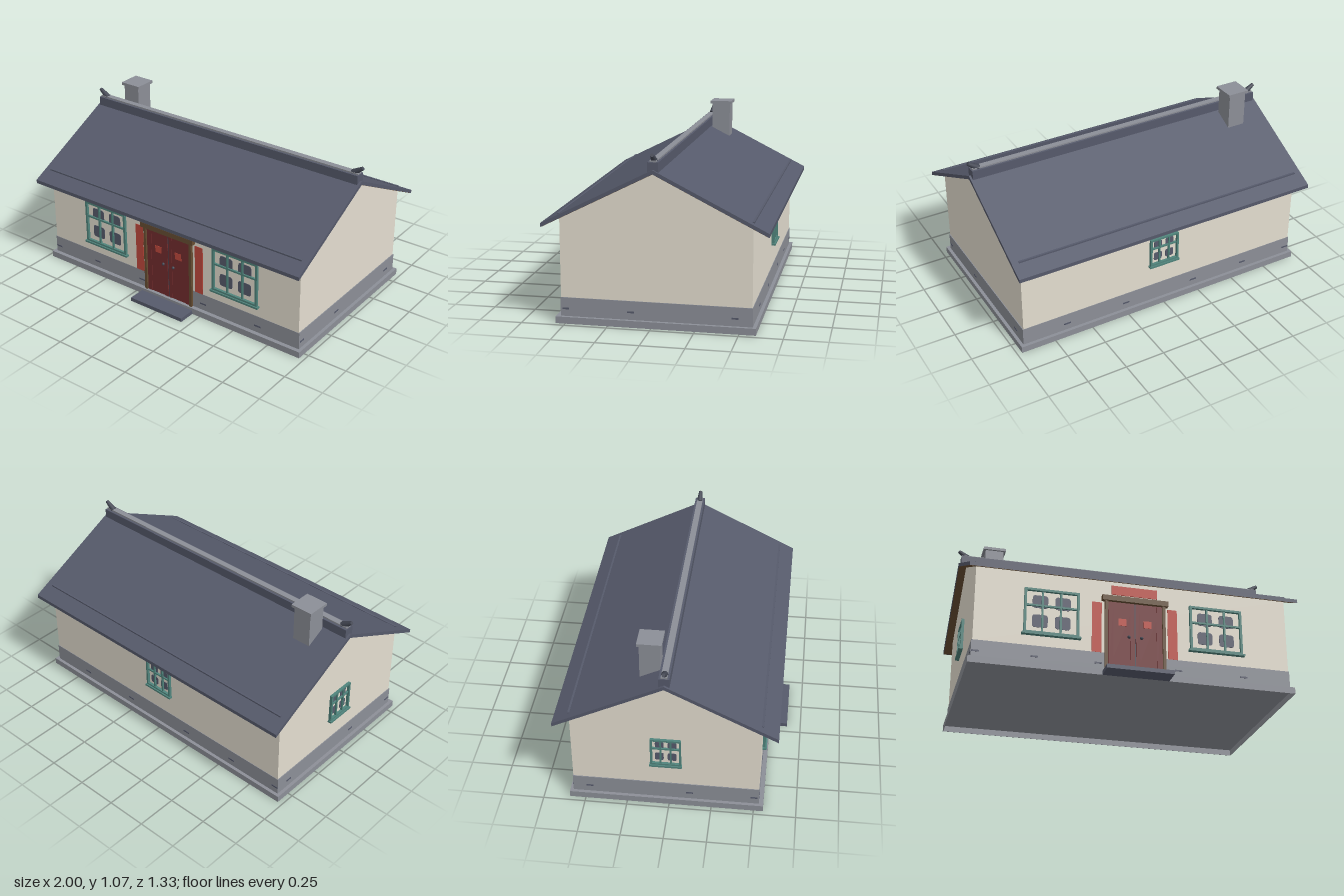
import * as THREE from 'three';

const mat = (name, color) => {
  const m = new THREE.MeshStandardMaterial({ color });
  m.name = name;
  return m;
};

export function createModel() {
  const plaster = mat('cream plaster', 0xe4ded0);
  const stone = mat('grey stone', 0x8c8f97);
  const slate = mat('roof slate', 0x565a6b);
  const wood = mat('brown wood', 0x664d32);
  const doorRed = mat('dark red', 0x722c2d);
  const red = mat('bright red', 0xc0493c);
  const teal = mat('teal paint', 0x50847c);
  const iron = mat('dark iron', 0x444854);

  const house = new THREE.Group();
  house.name = 'house';

  // Box given by its limits on each axis
  const box = (parent, name, m, x0, x1, y0, y1, z0, z1) => {
    const mesh = new THREE.Mesh(new THREE.BoxGeometry(x1 - x0, y1 - y0, z1 - z0), m);
    mesh.position.set((x0 + x1) / 2, (y0 + y1) / 2, (z0 + z1) / 2);
    mesh.name = name;
    parent.add(mesh);
  };

  // Prism along x from a [z, y] outline
  const prism = (name, m, pts, half) => {
    const shape = new THREE.Shape(pts.map(([z, y]) => new THREE.Vector2(-z, y)));
    const geo = new THREE.ExtrudeGeometry(shape, { depth: 2 * half, bevelEnabled: false });
    geo.translate(0, 0, -half);
    geo.rotateY(Math.PI / 2);
    const mesh = new THREE.Mesh(geo, m);
    mesh.name = name;
    house.add(mesh);
  };

  // Roof surface height at depth z
  const ridgeZ = -0.019;
  const roofY = z => 0.914 - Math.abs(z - ridgeZ) * 0.504;
  const front = 0.528, back = -0.572;

  // Hollow base: a floor plate with a thin skirt around it
  const baseX = 0.97, baseFront = 0.556, baseBack = -0.595, skirt = 0.003;
  box(house, 'basePlate', stone, -baseX, baseX, 0.037, 0.04, baseBack, baseFront);
  box(house, 'baseSkirtFront', stone, -baseX, baseX, 0, 0.037, baseFront - skirt, baseFront);
  box(house, 'baseSkirtBack', stone, -baseX, baseX, 0, 0.037, baseBack, baseBack + skirt);
  box(house, 'baseSkirtLeft', stone, baseX - skirt, baseX, 0, 0.037, baseBack + skirt, baseFront - skirt);
  box(house, 'baseSkirtRight', stone, -baseX, skirt - baseX, 0, 0.037, baseBack + skirt, baseFront - skirt);

  // Plinth and walls
  box(house, 'plinth', stone, -0.95, 0.95, 0.04, 0.15, back - 0.003, front + 0.002);
  const under = z => roofY(z) - 0.024;
  prism('walls', plaster, [[front, 0.15], [front, under(front)], [ridgeZ, under(ridgeZ)],
    [back, under(back)], [back, 0.15]], 0.945);

  // Small dark vents in the plinth
  for (const x of [-0.925, -0.59, -0.22, 0.26, 0.66]) {
    box(house, 'vent', slate, x - 0.022, x + 0.022, 0.078, 0.088, front, front + 0.004);
    box(house, 'vent', slate, x - 0.022, x + 0.022, 0.078, 0.088, back - 0.005, back);
  }
  for (const s of [-1, 1]) for (const z of [0.5, 0.12, -0.475]) {
    const x = s * 0.95;
    box(house, 'vent', slate, x - 0.002, x + 0.002, 0.08, 0.09, z - 0.02, z + 0.02);
  }

  // Roof slab with wooden soffit beneath
  const slab = (name, m, top, bottom, half, z0, z1) => prism(name, m, [
    [z0, roofY(z0) - top], [ridgeZ, roofY(ridgeZ) - top], [z1, roofY(z1) - top],
    [z1, roofY(z1) - bottom], [ridgeZ, roofY(ridgeZ) - bottom], [z0, roofY(z0) - bottom]], half);
  slab('roof', slate, 0, 0.023, 0.993, 0.626, -0.665);
  slab('soffit', wood, 0.022, 0.0246, 0.99, 0.622, -0.661);

  // Raised strips near the eaves
  for (const z of [0.532, -0.572]) {
    box(house, 'roofStrip', slate, -0.95, 0.95, roofY(z) - 0.01, roofY(z) + 0.006, z - 0.006, z + 0.006);
  }

  // Ridge cap and tilted end finials
  box(house, 'ridgeCap', slate, -0.98, 0.98, 0.895, 0.955, -0.05, 0.012);
  box(house, 'ridgeTop', stone, -0.975, 0.975, 0.955, 0.964, -0.037, 0);
  for (const s of [-1, 1]) {
    const finial = new THREE.Mesh(new THREE.CylinderGeometry(0.011, 0.02, 0.075, 10), iron);
    finial.position.set(s * 0.964, 0.976, ridgeZ);
    finial.rotation.z = -s * 0.97;
    finial.name = 'finial';
    house.add(finial);
  }

  // Chimney
  box(house, 'chimney', stone, -0.822, -0.707, 0.78, 1.055, -0.178, -0.06);
  box(house, 'chimneyCap', stone, -0.835, -0.694, 1.055, 1.073, -0.19, -0.048);

  // Window facing +z, centred on its own origin
  const makeWindow = (w, h, bar, sill) => {
    const g = new THREE.Group();
    g.name = 'window';
    const x = w / 2, y = h / 2;
    for (const s of [-1, 1]) {
      box(g, 'frameSide', teal, s * (x - bar / 2) - bar / 2, s * (x - bar / 2) + bar / 2, -y, y, 0, 0.017);
      box(g, 'mullion', teal, s * w / 6 - bar * 0.4, s * w / 6 + bar * 0.4, -y, y, 0, 0.013);
      box(g, 'frameRail', teal, -x, x, s * (y - bar / 2) - bar / 2, s * (y - bar / 2) + bar / 2, 0, 0.0165);
    }
    box(g, 'crossBar', teal, -x, x, h * 0.13 - bar * 0.4, h * 0.13 + bar * 0.4, 0, 0.012);
    box(g, 'sill', teal, -x - sill, x + sill, -y - 0.01, -y + 0.002, 0, 0.025);

    // Rounded dark panes
    const a = w * 0.14, b = h * 0.14, r = a * 0.4;
    const s = new THREE.Shape();
    s.moveTo(-a + r, -b);
    s.lineTo(a - r, -b).quadraticCurveTo(a, -b, a, -b + r);
    s.lineTo(a, b - r).quadraticCurveTo(a, b, a - r, b);
    s.lineTo(-a + r, b).quadraticCurveTo(-a, b, -a, b - r);
    s.lineTo(-a, -b + r).quadraticCurveTo(-a, -b, -a + r, -b);
    const paneGeo = new THREE.ExtrudeGeometry(s, { depth: 0.003, bevelEnabled: false, curveSegments: 4 });
    for (const i of [-1, 1]) for (const j of [-1, 1]) {
      const pane = new THREE.Mesh(paneGeo, slate);
      pane.position.set(i * w * 0.205, j * h * 0.215 + h * 0.01, 0);
      pane.name = 'pane';
      g.add(pane);
    }
    house.add(g);
    return g;
  };

  // Two front windows, one at the back and one in the right gable
  for (const s of [-1, 1]) makeWindow(0.325, 0.285, 0.014, 0.01).position.set(s * 0.497, 0.365, front);
  const backWindow = makeWindow(0.195, 0.19, 0.012, 0.005);
  backWindow.position.set(0, 0.395, back);
  backWindow.rotation.y = Math.PI;
  const sideWindow = makeWindow(0.18, 0.19, 0.012, 0.005);
  sideWindow.position.set(-0.945, 0.395, ridgeZ);
  sideWindow.rotation.y = -Math.PI / 2;

  // Double door with frame, lintel and mirrored details
  const door = new THREE.Group();
  door.name = 'door';
  house.add(door);
  box(door, 'lintel', wood, -0.2, 0.2, 0.48, 0.513, front, 0.555);
  for (const s of [-1, 1]) {
    const mirrored = (name, m, a, b, ...rest) => box(door, name, m, Math.min(s * a, s * b), Math.max(s * a, s * b), ...rest);
    mirrored('doorPost', wood, 0.165, 0.183, 0.03, 0.48, front, 0.547);
    mirrored('doorLeaf', doorRed, 0.003, 0.165, 0.035, 0.48, front, 0.535);
    mirrored('doorStile', doorRed, 0.13, 0.162, 0.04, 0.475, 0.535, 0.538);
    mirrored('doorMiddleStile', doorRed, 0.005, 0.028, 0.04, 0.475, 0.535, 0.538);
    mirrored('doorPanel', red, 0.052, 0.1, 0.33, 0.375, 0.535, 0.537);
    mirrored('shutter', red, 0.2, 0.258, 0.15, 0.47, front, front + 0.003);
    const knob = new THREE.Mesh(new THREE.SphereGeometry(0.01, 10, 8), iron);
    knob.position.set(s * 0.038, 0.262, 0.537);
    knob.name = 'knob';
    door.add(knob);
  }
  box(door, 'doorGap', iron, -0.003, 0.003, 0.035, 0.48, front, 0.534);
  box(house, 'fasciaPanel', red, -0.14, 0.137, 0.53, 0.588, front, 0.533);

  // Front step
  box(house, 'step', slate, -0.2, 0.195, 0, 0.024, 0.556, 0.665);
  return house;
}
